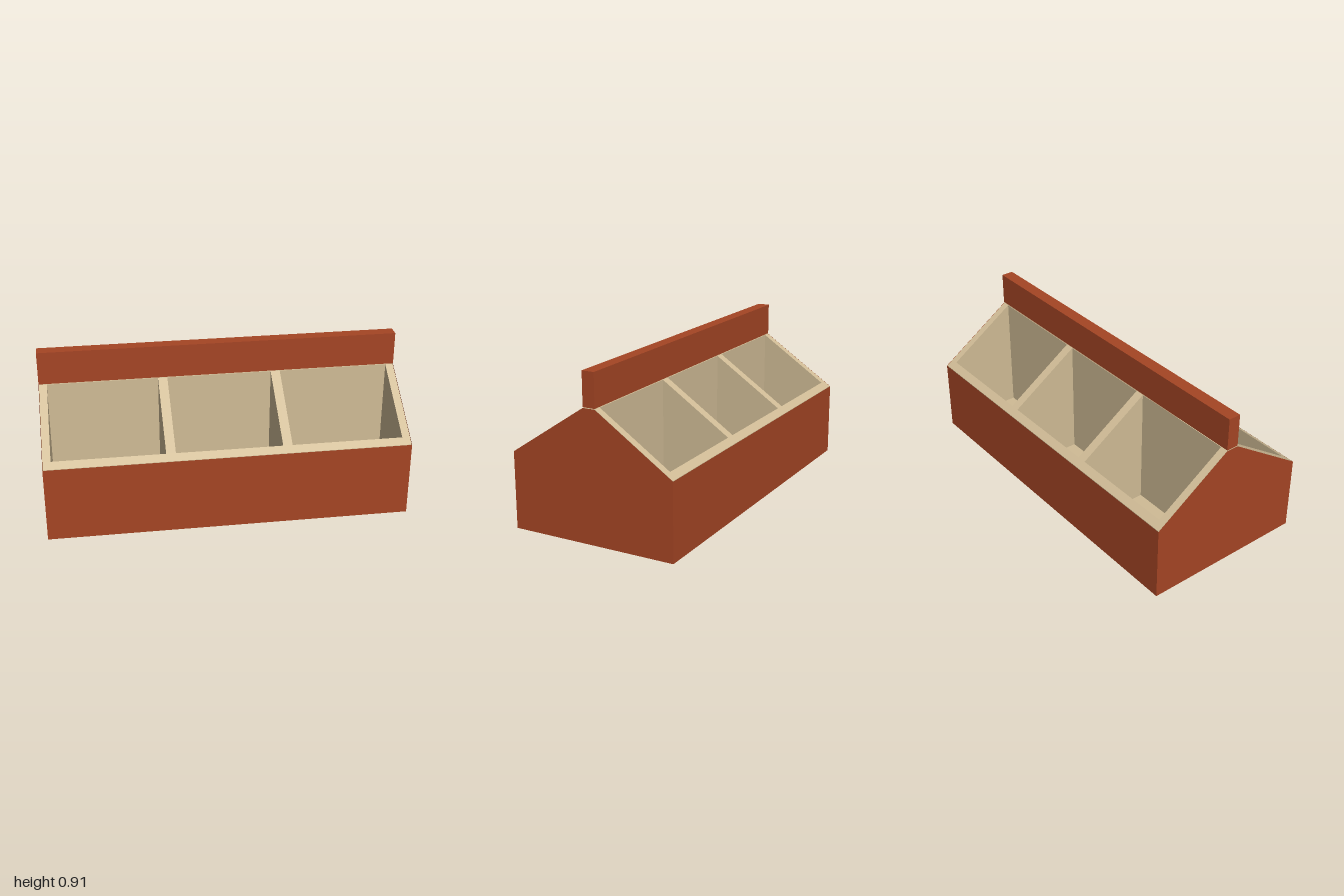
import * as THREE from 'three';

const brick = new THREE.MeshStandardMaterial({ color: 0xa54524, side: THREE.DoubleSide });
brick.name = 'brick red';
const beige = new THREE.MeshStandardMaterial({ color: 0xd0bc96 });
beige.name = 'beige';

const HALF_Z = 0.472, EAVE = 0.425, RIDGE = 0.718, SPINE = 0.035, WALL_IN = 0.43;
const INSET = 0.002; // beige body sits just inside the red faces
const roofY = z => RIDGE + (EAVE - RIDGE) * (Math.max(z, SPINE) - SPINE) / (HALF_Z - SPINE);

function add(parent, name, geometry, material) {
  const mesh = new THREE.Mesh(geometry, material);
  mesh.name = name;
  parent.add(mesh);
  return mesh;
}

// Extrude a [z, y] outline along x between x0 and x1
function alongX(points, x0, x1) {
  const shape = new THREE.Shape(points.map(([z, y]) => new THREE.Vector2(z, y)));
  return new THREE.ExtrudeGeometry(shape, { depth: x1 - x0, bevelEnabled: false })
    .rotateY(-Math.PI / 2).translate(x1, 0, 0);
}

// Upright wall slice from z0 to z1 whose top follows the slope
function slopedSlice(z0, z1, x0, x1, side) {
  const pts = [[z0, INSET], [z1, INSET], [z1, roofY(z1)], [z0, roofY(z0)]];
  return alongX(pts.map(([z, y]) => [z * side, y]), x0, x1);
}

export function createModel() {
  const root = new THREE.Group();
  root.name = 'doubleSidedBinDisplay';
  const end = 1 - INSET;

  // Central wall between the two rows of bins
  add(root, 'spineWall', alongX(
    [[-SPINE, INSET], [SPINE, INSET], [SPINE, RIDGE], [-SPINE, RIDGE]], -end, end), beige);

  // Bins on both sides: outer wall, end walls, dividers and floor
  const panels = [['endWall', -end, -0.955], ['divider', -0.345, -0.293],
    ['divider', 0.29, 0.342], ['endWall', 0.955, end]];
  for (const side of [1, -1]) {
    const row = new THREE.Group();
    row.name = side > 0 ? 'frontBins' : 'backBins';
    root.add(row);
    add(row, 'outerWall', slopedSlice(WALL_IN, HALF_Z - INSET, -end, end, side), beige);
    for (const [name, x0, x1] of panels)
      add(row, name, slopedSlice(SPINE, WALL_IN, x0, x1, side), beige);
    const floor = add(row, 'binFloor', new THREE.BoxGeometry(1.95, 0.036, WALL_IN - SPINE), beige);
    floor.position.set(0, 0.022, side * (WALL_IN + SPINE) / 2);

    // Red outer faces
    const face = add(root, side > 0 ? 'frontFace' : 'backFace', new THREE.PlaneGeometry(2, EAVE), brick);
    face.position.set(0, EAVE / 2, side * HALF_Z);
    if (side < 0) face.rotation.y = Math.PI;

    const gable = new THREE.Shape([[-HALF_Z, 0], [HALF_Z, 0], [HALF_Z, EAVE], [SPINE, RIDGE],
      [-SPINE, RIDGE], [-HALF_Z, EAVE]].map(([z, y]) => new THREE.Vector2(z, y)));
    const gableFace = add(root, side > 0 ? 'leftGable' : 'rightGable', new THREE.ShapeGeometry(gable), brick);
    gableFace.rotation.y = side * Math.PI / 2;
    gableFace.position.x = side;
  }

  // Underside
  add(root, 'underside', new THREE.PlaneGeometry(2, HALF_Z * 2).rotateX(Math.PI / 2), brick);

  // Header board standing along the ridge
  add(root, 'headerBoard', new THREE.BoxGeometry(2, 0.185, SPINE * 2), brick).position.y = 0.8145;

  return root;
}
